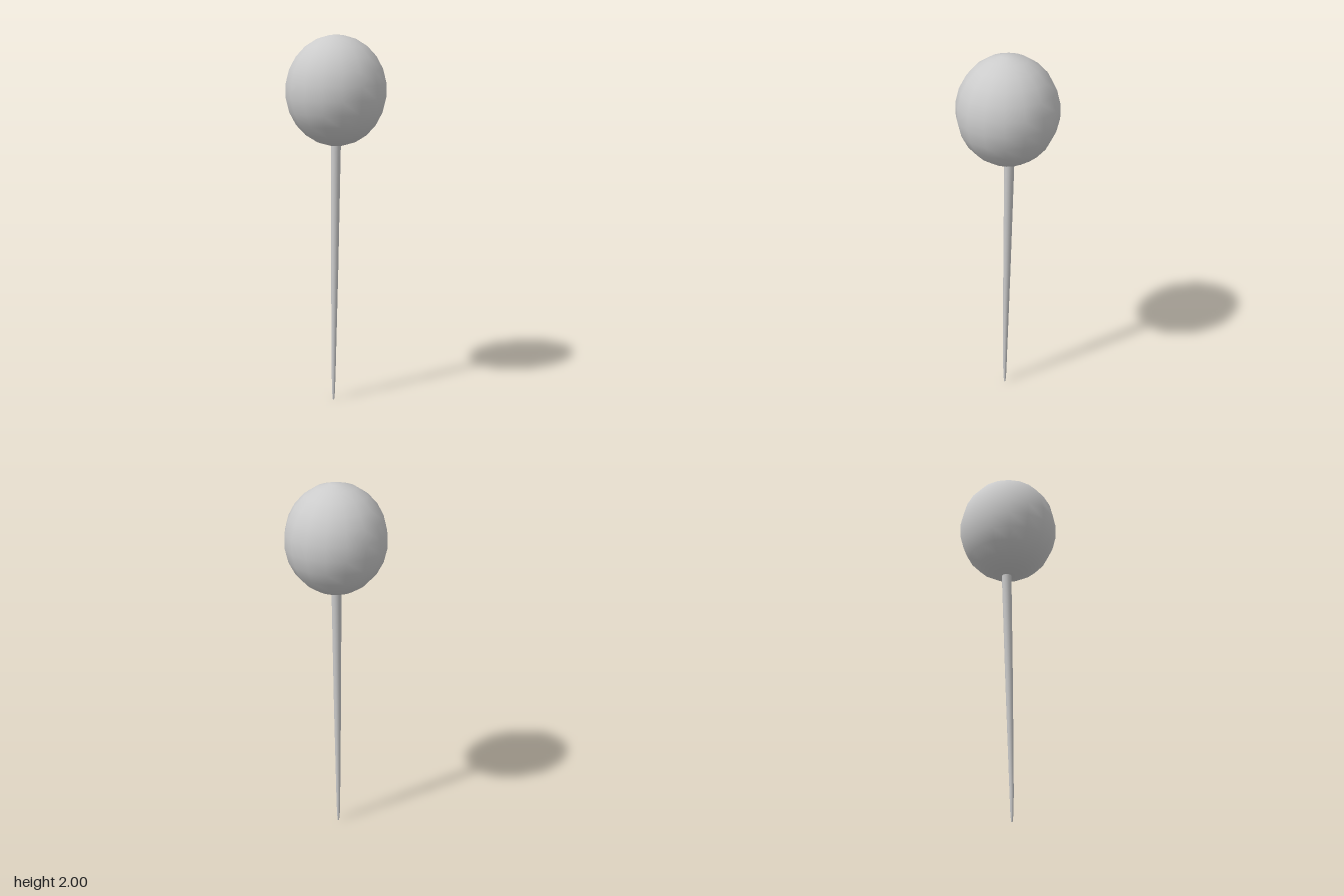
import * as THREE from 'three';

const SIDES = 16;
const TWIST = 0.112; // small turn about the vertical axis

// Skin a list of horizontal rings [y, radius, centreX, centreZ], top to bottom.
function loft(name, rings) {
  const positions = [], index = [];
  for (const [y, r, cx = 0, cz = 0] of rings) {
    for (let j = 0; j < SIDES; j++) {
      const a = TWIST + (j / SIDES) * Math.PI * 2;
      positions.push(cx + r * Math.cos(a), y, cz + r * Math.sin(a));
    }
  }
  for (let i = 0; i < rings.length - 1; i++) {
    for (let j = 0; j < SIDES; j++) {
      const k = (j + 1) % SIDES;
      const a = i * SIDES + j, b = i * SIDES + k;
      const c = a + SIDES, d = b + SIDES;
      if (rings[i][1] > 0) index.push(a, b, c);
      if (rings[i + 1][1] > 0) index.push(b, d, c);
    }
  }
  const geometry = new THREE.BufferGeometry();
  geometry.setAttribute('position', new THREE.Float32BufferAttribute(positions, 3));
  geometry.setIndex(index);
  geometry.computeVertexNormals();
  const material = new THREE.MeshStandardMaterial({ color: 0xcccccc, side: THREE.DoubleSide });
  const mesh = new THREE.Mesh(geometry, material);
  mesh.name = name;
  return mesh;
}

export function createModel() {
  const group = new THREE.Group();
  group.name = 'balloonOnString';

  // Balloon: slightly tall ellipsoid with small closed ends
  const balloon = [[2, 0]];
  for (let i = 0; i < 12; i++) {
    const lat = THREE.MathUtils.degToRad(82.5 - 15 * i);
    balloon.push([1.7075 + 0.295 * Math.sin(lat), 0.272 * Math.cos(lat)]);
  }
  balloon.push([1.415, 0]);
  group.add(loft('balloon', balloon));

  // String: long taper leaning slightly to one side, with a blunt tip
  group.add(loft('string', [
    [1.43, 0.027, 0, -0.008],
    [0.75, 0.02, -0.01, 0.005],
    [0.15, 0.011, -0.019, 0.016],
    [0.04, 0.008, -0.02, 0.017],
    [0, 0.004, -0.02, 0.017],
    [0, 0, -0.02, 0.017],
  ]));

  return group;
}
